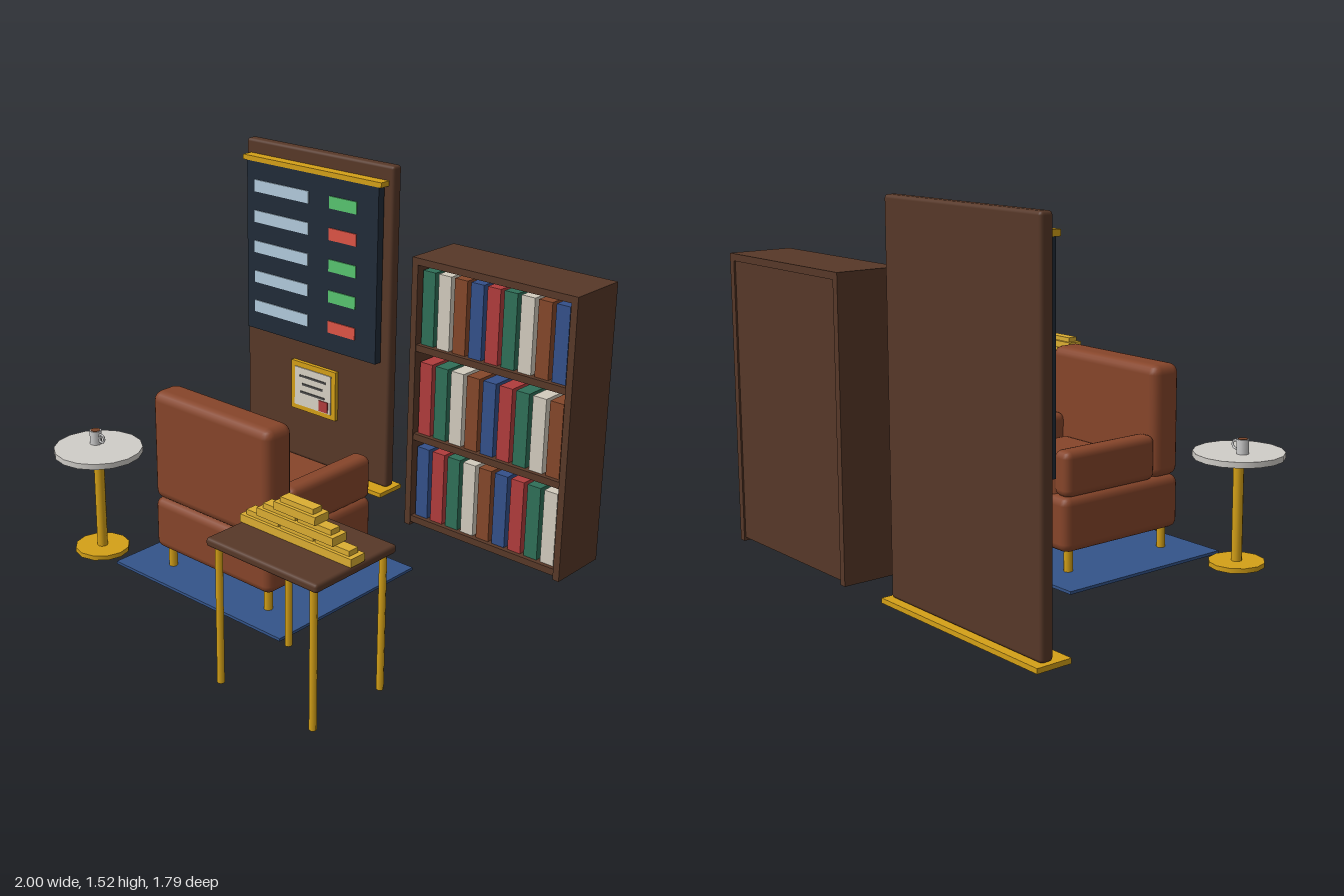
import * as THREE from 'three';
import { RoundedBoxGeometry } from 'three/addons/geometries/RoundedBoxGeometry.js';

const mat = (color, flatShading = false) => new THREE.MeshStandardMaterial({ color, flatShading });
const M = {
  wood: mat(0x573828), gold: mat(0xd4a017), goldBar: mat(0xdcae32), leather: mat(0x86452a),
  rug: mat(0x34548a), screen: mat(0x202b38), text: mat(0xb2cbdc), green: mat(0x58c470),
  red: mat(0xde5446), paper: mat(0xd8d2c4), ink: mat(0x4a4a4a), stone: mat(0xd0cdc8),
  cup: mat(0xcccccc), coffee: mat(0x7a4428),
  bookGreen: mat(0x2f6f58), bookCream: mat(0xd2cbbd), bookBrown: mat(0x84472a),
  bookBlue: mat(0x34508a), bookRed: mat(0xb03c3c),
};

function add(parent, name, geometry, material, x, y, z) {
  const mesh = new THREE.Mesh(geometry, material);
  mesh.name = name;
  mesh.position.set(x, y, z);
  parent.add(mesh);
  return mesh;
}

// Box given by its extents on each axis; r > 0 rounds the edges
function box(parent, name, material, [x0, x1], [y0, y1], [z0, z1], r = 0) {
  const s = [x1 - x0, y1 - y0, z1 - z0];
  const geo = r ? new RoundedBoxGeometry(...s, 2, r) : new THREE.BoxGeometry(...s);
  return add(parent, name, geo, material, (x0 + x1) / 2, (y0 + y1) / 2, (z0 + z1) / 2);
}

// Upright cylinder from y0 to y1
function post(parent, name, material, r, x, y0, y1, z, sides) {
  return add(parent, name, new THREE.CylinderGeometry(r, r, y1 - y0, sides), material, x, (y0 + y1) / 2, z);
}

function group(parent, name) {
  const g = new THREE.Group();
  g.name = name;
  parent.add(g);
  return g;
}

function buildBoard(root) {
  const g = group(root, 'displayBoard');
  box(g, 'boardPanel', M.wood, [-0.985, -0.105], [0.02, 1.525], [-0.865, -0.81], 0.014);
  box(g, 'boardBase', M.gold, [-1, -0.085], [0, 0.02], [-0.895, -0.745]);
  box(g, 'boardScreen', M.screen, [-0.935, -0.145], [0.63, 1.44], [-0.797, -0.76]);
  box(g, 'boardRail', M.gold, [-0.957, -0.13], [1.437, 1.46], [-0.81, -0.757]);
  // Rows of entries with a status mark
  [M.green, M.red, M.green, M.green, M.red].forEach((status, i) => {
    const y = 1.325 - i * 0.145;
    box(g, 'boardEntry', M.text, [-0.885, -0.55], [y - 0.028, y + 0.028], [-0.765, -0.755]);
    box(g, 'boardStatus', status, [-0.425, -0.265], [y - 0.028, y + 0.028], [-0.765, -0.755]);
  });
  // Framed certificate
  const c = group(g, 'certificate');
  box(c, 'certificateFrame', M.gold, [-0.68, -0.405], [0.275, 0.515], [-0.815, -0.79]);
  box(c, 'certificatePaper', M.paper, [-0.655, -0.43], [0.3, 0.49], [-0.8, -0.785]);
  [0.165, 0.13, 0.15].forEach((w, i) => {
    const y = 0.45 - i * 0.04;
    box(c, 'certificateLine', M.ink, [-0.5425 - w / 2, -0.5425 + w / 2], [y - 0.005, y + 0.005], [-0.79, -0.782]);
  });
  box(c, 'certificateSeal', M.bookRed, [-0.5, -0.445], [0.305, 0.358], [-0.79, -0.78]);
}

function buildBookcase(root) {
  const g = group(root, 'bookcase');
  for (const x of [0.16, 0.94]) box(g, 'bookcaseSide', M.wood, [x, x + 0.03], [0, 1.22], [-0.9, -0.62]);
  const shelves = [0.015, 0.405, 0.81, 1.19];
  for (const y of shelves) {
    box(g, 'bookcaseShelf', M.wood, [0.19, 0.94], [y, y + 0.03], [y > 1 ? -0.9 : -0.89, y > 1 ? -0.62 : -0.625]);
  }
  box(g, 'bookcaseBack', M.wood, [0.19, 0.94], [0.015, 1.19], [-0.893, -0.87]);
  // Nine books per shelf, colours running on from shelf to shelf
  const colors = [M.bookGreen, M.bookCream, M.bookBrown, M.bookBlue, M.bookRed];
  [0.84, 0.435, 0.045].forEach((y, row) => {
    for (let i = 0; i < 9; i++) {
      const x = 0.2 + i * 0.0823;
      box(g, 'book', colors[(row * 9 + i) % 5], [x, x + 0.064], [y, y + 0.325], [-0.85, -0.645]);
    }
  });
}

function buildArmchair(root) {
  const g = group(root, 'armchair');
  box(g, 'chairBase', M.leather, [-0.325, 0.325], [0.1, 0.325], [-0.195, 0.42], 0.035);
  box(g, 'chairBackrest', M.leather, [-0.325, 0.325], [0.322, 0.79], [0.277, 0.42], 0.04);
  box(g, 'seatCushion', M.leather, [-0.235, 0.235], [0.3, 0.41], [-0.175, 0.285], 0.025);
  for (const s of [-1, 1]) {
    const x = s * 0.28;
    box(g, 'chairArm', M.leather, [x - 0.045, x + 0.045], [0.322, 0.508], [-0.187, 0.285], 0.03);
    for (const z of [-0.137, 0.368]) post(g, 'chairLeg', M.gold, 0.018, s * 0.273, 0, 0.12, z, 8);
  }
}

function buildRoundTable(root) {
  const g = group(root, 'roundTable');
  const x = -0.62, z = 0.457;
  post(g, 'roundTableBase', M.gold, 0.115, x, 0, 0.02, z, 12);
  post(g, 'roundTablePole', M.gold, 0.022, x, 0.02, 0.45, z, 10);
  post(g, 'roundTableTop', M.stone, 0.185, x, 0.447, 0.471, z, 16);
  // Cup with a ring handle
  const c = group(g, 'cup');
  post(c, 'cupBody', M.cup, 0.025, -0.657, 0.471, 0.53, 0.438, 12);
  post(c, 'coffee', M.coffee, 0.02, -0.657, 0.52, 0.532, 0.438, 12);
  add(c, 'cupHandle', new THREE.TorusGeometry(0.017, 0.005, 6, 14), M.cup, -0.62, 0.502, 0.438);
}

function buildSideTable(root) {
  const g = group(root, 'sideTable');
  const x = 0.735, z = 0.685;
  box(g, 'sideTableTop', M.wood, [0.473, 0.997], [0.548, 0.582], [0.475, 0.895], 0.012);
  for (const sx of [-1, 1]) for (const sz of [-1, 1]) {
    post(g, 'sideTableLeg', M.gold, 0.014, x + sx * 0.225, 0, 0.555, z + sz * 0.18, 8);
  }
  // Stacked bars: three, two, one
  for (let row = 0; row < 3; row++) {
    const y = 0.582 + row * 0.051;
    for (let i = 0; i < 3 - row; i++) {
      const bx = x + (i - (2 - row) / 2) * 0.165;
      box(g, 'goldBarBody', M.goldBar, [bx - 0.097, bx + 0.097], [y, y + 0.031], [z - 0.036, z + 0.036]);
      box(g, 'goldBarTop', M.goldBar, [bx - 0.077, bx + 0.077], [y + 0.031, y + 0.051], [z - 0.023, z + 0.023]);
    }
  }
}

export function createModel() {
  const root = new THREE.Group();
  root.name = 'readingRoom';
  box(root, 'rug', M.rug, [-0.468, 0.468], [0, 0.012], [-0.293, 0.51]);
  buildBoard(root);
  buildBookcase(root);
  buildArmchair(root);
  buildRoundTable(root);
  buildSideTable(root);
  return root;
}
